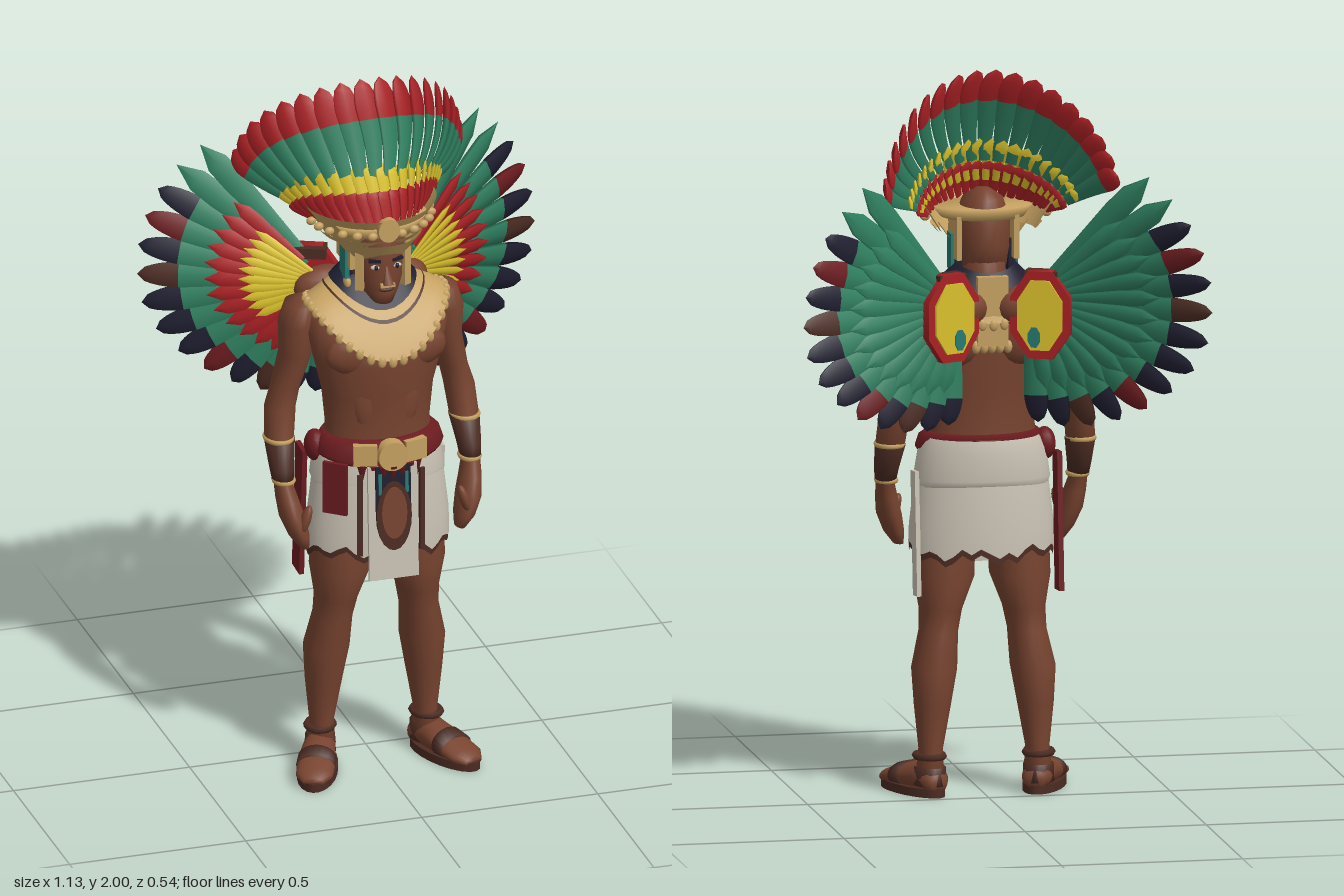
import * as THREE from 'three';
import { mergeGeometries, mergeVertices } from 'three/addons/utils/BufferGeometryUtils.js';

const mat = (name, color, side = THREE.FrontSide) => {
  const m = new THREE.MeshStandardMaterial({ color, side });
  m.name = name;
  return m;
};
const D = THREE.DoubleSide;
const M = {
  skin: mat('skin', 0x784430), leather: mat('leather', 0x4c2c23), gold: mat('gold', 0xc4a060, D),
  green: mat('green', 0x2f7f60), red: mat('red', 0xa82024), navy: mat('navy', 0x1f1e30, D),
  yellow: mat('yellow', 0xd8c02c), cream: mat('cream', 0xcac2b4, D), teal: mat('teal', 0x257a72),
  maroon: mat('maroon', 0x6c1c20, D),
};
const SIDES = [-1, 1];

// Cross-sections from top to bottom: [y, cx, cz, rx, rz, drop at front and back]
function loft(sections, open = false, n = 20) {
  const rows = sections.length - 1;
  let g = new THREE.CylinderGeometry(1, 1, 1, n, rows, open);
  g.deleteAttribute('uv');
  g.deleteAttribute('normal');
  const p = g.attributes.position;
  for (let i = 0; i < p.count; i++) {
    const [y, cx, cz, rx, rz, drop = 0] = sections[Math.round((0.5 - p.getY(i)) * rows)];
    const x = p.getX(i), z = p.getZ(i);
    p.setXYZ(i, cx + x * rx, y + drop * z * z * (z > 0 ? 1 : 0.5), cz + z * rz);
  }
  g = mergeVertices(g, 1e-5);
  g.computeVertexNormals();
  return g;
}
const mirrored = (sections, s) => sections.map(([y, cx, ...r]) => [y, cx * s, ...r]);

// A piece of a flat bowed feather, from fraction t0 to t1 of its length
function featherPiece(len, w, bow, t0, t1) {
  const pts = [];
  for (let i = 0; i <= 6; i++) {
    const t = t0 + (t1 - t0) * i / 6;
    const r = t < 0.72 ? 0.45 + 0.55 * t / 0.72 : Math.sqrt(Math.max(0, 1 - ((t - 0.72) / 0.28) ** 2));
    pts.push(new THREE.Vector2(Math.max(r * w, 1e-4), t * len));
  }
  const g = new THREE.LatheGeometry(pts, 6).scale(1, 1, 0.28), p = g.attributes.position;
  for (let i = 0; i < p.count; i++) {
    const t = p.getY(i) / len;
    p.setZ(i, p.getZ(i) + bow * 4 * t * (1 - t));
  }
  return g;
}

// Feathers spread over a surface P(t, a); colour(i) gives [base, tip, split]
function fan(name, P, a0, a1, n, t0, t1, w, bow, colour) {
  const bins = {};
  for (let i = 0; i < n; i++) {
    const a = a0 + (a1 - a0) * i / (n - 1);
    const from = P(t0, a), to = P(t1, a);
    const Y = to.clone().sub(from), len = Y.length();
    Y.normalize();
    const Z = P(t1, a + 0.05).sub(P(t1, a - 0.05)).cross(Y).normalize();
    const X = Y.clone().cross(Z);
    const m = new THREE.Matrix4().makeBasis(X, Y, Z).setPosition(from);
    m.multiply(new THREE.Matrix4().makeRotationY(0.28));
    const [base, tip, split] = colour(i);
    (bins[base] ??= []).push(featherPiece(len, w, bow, 0, tip ? split : 1).applyMatrix4(m));
    if (tip) (bins[tip] ??= []).push(featherPiece(len, w, bow, split, 1).applyMatrix4(m));
  }
  const group = new THREE.Group();
  group.name = name;
  for (const c in bins) {
    const mesh = new THREE.Mesh(mergeGeometries(bins[c]), M[c]);
    mesh.name = name + ' ' + c;
    group.add(mesh);
  }
  return group;
}

export function createModel() {
  const model = new THREE.Group();
  model.name = 'feathered warrior';
  const add = (name, g, m, x = 0, y = 0, z = 0, parent = model) => {
    const mesh = new THREE.Mesh(g, M[m]);
    mesh.name = name;
    mesh.position.set(x, y, z);
    parent.add(mesh);
    return mesh;
  };
  const box = (name, m, w, h, d, x, y, z) => add(name, new THREE.BoxGeometry(w, h, d), m, x, y, z);
  const ball = (name, m, rx, ry, rz, x, y, z) =>
    add(name, new THREE.SphereGeometry(1, 14, 10).scale(rx, ry, rz), m, x, y, z);
  const disc = (name, m, rx, ry, d, x, y, z) =>
    add(name, new THREE.CylinderGeometry(1, 1, d, 20).rotateX(Math.PI / 2).scale(rx, ry, 1), m, x, y, z);

  // Torso, neck and head
  add('torso', loft([[1.42, 0, 0.04, 0.06, 0.05], [1.39, 0, 0.05, 0.13, 0.07], [1.36, 0, 0.07, 0.185, 0.095],
    [1.3, 0, 0.1, 0.198, 0.12], [1.22, 0, 0.105, 0.18, 0.123], [1.12, 0, 0.102, 0.155, 0.108],
    [1.02, 0, 0.102, 0.145, 0.103], [0.95, 0, 0.1, 0.155, 0.105], [0.8, 0, 0.1, 0.17, 0.11]], false, 28), 'skin');
  add('neck', loft([[1.5, 0, 0.07, 0.055, 0.06], [1.35, 0, 0.05, 0.065, 0.065]]), 'skin');
  add('head', loft([[1.665, 0, 0.08, 0.02, 0.03], [1.64, 0, 0.085, 0.055, 0.075], [1.58, 0, 0.09, 0.074, 0.1],
    [1.51, 0, 0.09, 0.074, 0.102], [1.46, 0, 0.1, 0.068, 0.09], [1.42, 0, 0.115, 0.052, 0.07],
    [1.39, 0, 0.14, 0.03, 0.042]]), 'skin');
  add('nose', new THREE.ConeGeometry(0.016, 0.06, 6), 'skin', 0, 1.485, 0.195).rotation.x = -0.25;
  box('nose ornament', 'gold', 0.04, 0.01, 0.012, 0, 1.452, 0.196);
  ball('mouth', 'leather', 0.022, 0.006, 0.008, 0, 1.435, 0.185);

  // Pectorals, face details, side flaps
  for (const s of SIDES) {
    ball('pectoral', 'skin', 0.092, 0.062, 0.036, s * 0.08, 1.255, 0.18);
    ball('abdominal', 'skin', 0.05, 0.1, 0.024, s * 0.045, 1.11, 0.18);
    ball('shoulder blade', 'skin', 0.09, 0.09, 0.04, s * 0.09, 1.28, 0.005);
    ball('eye white', 'cream', 0.014, 0.007, 0.008, s * 0.03, 1.503, 0.182);
    ball('pupil', 'navy', 0.006, 0.007, 0.006, s * 0.03, 1.503, 0.187);
    box('eyebrow', 'navy', 0.034, 0.008, 0.009, s * 0.032, 1.522, 0.183).rotation.y = s * 0.35;
    box('hair lock', 'navy', 0.02, 0.14, 0.05, s * 0.073, 1.46, 0.07);
    box('cheek frame', 'gold', 0.022, 0.11, 0.035, s * 0.061, 1.485, 0.145).rotation.y = s * 0.5;
    box('helmet side', 'gold', 0.014, 0.12, 0.12, s * 0.079, 1.54, 0.07);
    box('flap inlay', 'teal', 0.012, 0.1, 0.05, s * 0.087, 1.495, 0.085);
    ball('earring', 'gold', 0.011, 0.02, 0.018, s * 0.085, 1.43, 0.1);
  }

  // Crown
  const arc = (name, m, rt, rb, h, y, z) =>
    add(name, new THREE.CylinderGeometry(rt, rb, h, 28, 1, true, -Math.PI * 0.55, Math.PI * 1.1), m, 0, y, z);
  arc('brow band', 'gold', 0.125, 0.086, 0.055, 1.548, 0.09);
  arc('crown band', 'gold', 0.184, 0.13, 0.085, 1.605, 0.028);
  arc('crown lower rim', 'gold', 0.152, 0.135, 0.02, 1.57, 0.04);
  add('crown floor', loft([[1.62, 0, 0.095, 0.14, 0.1], [1.59, 0, 0.09, 0.115, 0.104]], false, 28), 'gold');
  for (let i = -6; i <= 6; i++) {
    const a = i * 0.25;
    ball('crown bead', 'gold', 0.014, 0.012, 0.01, 0.168 * Math.sin(a), 1.6, 0.03 + 0.168 * Math.cos(a));
  }
  disc('crown medallion', 'gold', 0.03, 0.034, 0.02, 0, 1.62, 0.203);

  // Headdress feathers
  const crest = dz => (t, a) => {
    const s = Math.sin(a), c = Math.cos(a);
    const base = new THREE.Vector3(0.165 * s, 1.605 + 0.02 * c, 0.185 - 0.17 * s * s + dz);
    return base.lerp(new THREE.Vector3(0.325 * s, 1.68 + 0.32 * c, 0.03 - 0.22 * s * s + dz), t);
  };
  model.add(fan('headdress long feathers', crest(0.004), -1.4, 1.4, 18, 0.28, 1, 0.038, 0.025, () => ['green', 'red', 0.62]));
  model.add(fan('headdress yellow feathers', crest(0.008), -1.38, 1.38, 21, 0.12, 0.45, 0.023, 0.008, () => ['yellow']));
  model.add(fan('headdress red feathers', crest(0.012), -1.4, 1.4, 21, 0, 0.28, 0.025, 0.006, () => ['red']));

  // Collar in tiers with a beaded hem
  add('neck collar', loft([[1.468, 0, 0.05, 0.082, 0.07, -0.04], [1.43, 0, 0.06, 0.12, 0.118, -0.06]], true, 28), 'navy');
  add('gold collar', loft([[1.43, 0, 0.055, 0.085, 0.075, -0.03], [1.42, 0, 0.065, 0.125, 0.115, -0.06],
    [1.406, 0, 0.085, 0.17, 0.143, -0.115], [1.388, 0, 0.09, 0.2, 0.16, -0.14]], true, 36), 'gold');
  add('collar groove', loft([[1.422, 0, 0.068, 0.136, 0.126, -0.074], [1.418, 0, 0.07, 0.14, 0.13, -0.079]], true, 36), 'leather');
  for (let i = 0; i < 40; i++) {
    const a = i * Math.PI / 20, c = Math.cos(a);
    ball('collar bead', 'gold', 0.012, 0.016, 0.007, 0.194 * Math.sin(a), 1.383 - 0.14 * c * c * (c > 0 ? 1 : 0.5), 0.09 + 0.156 * c);
  }

  // Limbs
  const arm = [[1.385, 0.18, 0.045, 0.02, 0.02], [1.365, 0.2, 0.045, 0.042, 0.055], [1.31, 0.21, 0.045, 0.05, 0.066],
    [1.22, 0.213, 0.04, 0.044, 0.06], [1.12, 0.238, 0.03, 0.039, 0.05], [1.06, 0.254, 0.033, 0.042, 0.05],
    [0.98, 0.262, 0.05, 0.04, 0.047], [0.9, 0.266, 0.085, 0.03, 0.037], [0.86, 0.266, 0.1, 0.025, 0.036],
    [0.82, 0.26, 0.115, 0.03, 0.046], [0.77, 0.25, 0.13, 0.034, 0.054], [0.72, 0.235, 0.14, 0.028, 0.046],
    [0.685, 0.222, 0.142, 0.014, 0.028]];
  const leg = [[0.95, 0.085, 0.1, 0.07, 0.085], [0.75, 0.1, 0.102, 0.084, 0.088], [0.6, 0.105, 0.1, 0.083, 0.097],
    [0.51, 0.115, 0.095, 0.058, 0.078], [0.45, 0.122, 0.088, 0.053, 0.07], [0.35, 0.136, 0.075, 0.062, 0.075],
    [0.25, 0.142, 0.07, 0.05, 0.06], [0.13, 0.147, 0.068, 0.033, 0.042], [0.04, 0.15, 0.065, 0.04, 0.048]];
  const foot = [[0.2, 0, -0.025, 0.028, 0.014], [0.17, 0, -0.032, 0.05, 0.022], [0.1, 0, -0.043, 0.053, 0.034],
    [0.03, 0, -0.052, 0.044, 0.045], [-0.03, 0, -0.045, 0.04, 0.035], [-0.048, 0, -0.04, 0.025, 0.025]];
  for (const s of SIDES) {
    add('arm', loft(mirrored(arm, s)), 'skin');
    add('bracer', loft(mirrored([[0.975, 0.262, 0.052, 0.042, 0.049], [0.9, 0.266, 0.085, 0.033, 0.04],
      [0.87, 0.266, 0.096, 0.029, 0.039]], s)), 'leather');
    for (const [y, z, r] of [[0.975, 0.052, 0.038], [0.868, 0.097, 0.028]])
      add('bracer ring', new THREE.TorusGeometry(r, 0.005, 6, 20).rotateX(Math.PI / 2).scale(1, 1.4, 1.25), 'gold', s * 0.264, y, z);
    ball('thumb', 'skin', 0.014, 0.042, 0.018, s * 0.225, 0.775, 0.172).rotation.z = s * 0.3;
    add('leg', loft(mirrored(leg, s)), 'skin');

    const sandal = new THREE.Group();
    sandal.name = 'foot';
    add('foot flesh', loft(foot).rotateX(Math.PI / 2), 'skin', 0, 0, 0, sandal);
    add('sandal sole', new THREE.CylinderGeometry(1, 1, 0.024, 20).scale(0.055, 1, 0.132), 'leather', 0, 0.012, 0.08, sandal);
    add('toe strap', loft([[0.125, 0, -0.042, 0.054, 0.034], [0.085, 0, -0.046, 0.053, 0.04]]).rotateX(Math.PI / 2),
      'leather', 0, 0, 0, sandal);
    add('heel strap', loft([[0.08, 0, 0, 0.041, 0.048], [0.03, 0, 0, 0.043, 0.05]]), 'leather', 0, 0, 0, sandal);
    add('ankle strap', new THREE.TorusGeometry(0.036, 0.01, 6, 16).rotateX(Math.PI / 2).scale(1, 1, 1.15), 'leather', 0, 0.11, 0.002, sandal);
    sandal.position.set(s * 0.15, 0, 0.065);
    sandal.rotation.y = s * 0.4;
    model.add(sandal);
  }

  // Wrapped skirt with a ragged hem and dark trim
  const ragged = (name, sections, m) => {
    const g = loft(sections, true, 48), p = g.attributes.position;
    for (let i = 0; i < p.count; i++) if (p.getY(i) < 0.71) {
      const a = Math.atan2(p.getX(i), p.getZ(i) - 0.1);
      p.setY(i, p.getY(i) + 0.01 * Math.sin(5 * a) + 0.012 * Math.sin(13 * a));
    }
    g.computeVertexNormals();
    add(name, g, m);
  };
  ragged('skirt', [[0.95, 0, 0.105, 0.165, 0.115], [0.85, 0, 0.105, 0.185, 0.126], [0.74, 0, 0.105, 0.198, 0.132],
    [0.675, 0, 0.105, 0.2, 0.132]], 'cream');
  ragged('skirt trim', [[0.68, 0, 0.105, 0.197, 0.129], [0.658, 0, 0.105, 0.197, 0.129]], 'leather');
  add('waist wrap', loft([[0.985, 0, 0.095, 0.158, 0.116], [0.95, 0, 0.095, 0.176, 0.123], [0.87, 0, 0.1, 0.188, 0.13, 0.01],
    [0.85, 0, 0.1, 0.182, 0.122, 0.02]], true, 28), 'cream');
  for (const s of SIDES) box('skirt slit', 'leather', 0.016, 0.24, 0.008, s * 0.088, 0.79, 0.225).rotation.y = s * 0.3;
  box('hip tail', 'cream', 0.012, 0.34, 0.06, 0.195, 0.73, 0.03).rotation.x = 0.1;
  box('red sash', 'maroon', 0.014, 0.38, 0.065, -0.2, 0.75, 0.04).rotation.x = 0.08;
  box('red sash front', 'maroon', 0.07, 0.15, 0.012, -0.15, 0.87, 0.2).rotation.y = -0.7;
  ball('sash knot', 'maroon', 0.03, 0.045, 0.04, -0.172, 0.955, 0.09);

  // Front apron
  const apron = new THREE.Group();
  apron.name = 'apron';
  const drop = new THREE.CylinderGeometry(1, 1, 0.008, 20).rotateX(Math.PI / 2);
  add('apron cloth', new THREE.BoxGeometry(0.14, 0.33, 0.009), 'cream', 0, -0.165, 0, apron);
  add('apron panel', new THREE.BoxGeometry(0.1, 0.13, 0.006), 'navy', 0, -0.065, 0.006, apron);
  add('apron pendant', drop.clone().scale(0.05, 0.1, 1), 'leather', 0, -0.145, 0.01, apron);
  add('pendant centre', drop.clone().scale(0.036, 0.075, 1), 'skin', 0, -0.135, 0.014, apron);
  for (const s of SIDES) add('apron inlay', new THREE.BoxGeometry(0.009, 0.06, 0.006), 'teal', s * 0.038, -0.05, 0.01, apron);
  apron.position.set(0, 0.935, 0.235);
  apron.rotation.x = -0.05;
  model.add(apron);

  // Belt, narrow behind and broad in front
  add('belt', loft([[1, 0, 0.105, 0.152, 0.112], [0.985, 0, 0.115, 0.17, 0.118], [0.955, 0, 0.117, 0.18, 0.12, -0.02],
    [0.945, 0, 0.117, 0.175, 0.116, -0.02]], false, 28), 'maroon');
  disc('belt buckle', 'gold', 0.042, 0.042, 0.035, 0, 0.965, 0.235);
  for (const s of SIDES) box('belt plate', 'gold', 0.065, 0.06, 0.025, s * 0.07, 0.965, 0.215).rotation.y = s * 0.25;
  for (let i = -3; i <= 3; i++)
    add('belt fringe', new THREE.ConeGeometry(0.015, 0.055, 5).rotateX(Math.PI), 'maroon', i * 0.026, 0.908, 0.242 - 0.003 * i * i);

  // Wings: layered feathers around a root on each shoulder
  const tips = ['navy', 'navy', 'navy', 'maroon', 'navy', 'leather'];
  const pad = new THREE.CylinderGeometry(1, 1, 0.03, 8).rotateX(Math.PI / 2).rotateZ(Math.PI / 8);
  for (const s of SIDES) {
    const wing = dz => (r, a) => {
      const k = a > -0.3 ? 1 : 1 - 0.27 * (-0.3 - a) / 1.2;
      const x = r * k * Math.cos(a), y = r * k * Math.sin(a);
      return new THREE.Vector3(s * (0.1 + x), 1.38 + y, -0.05 - 0.46 * x - 0.13 * Math.max(0, y) + dz);
    };
    model.add(fan('wing long feathers', wing(0), 0.88, -1.5, 14, 0.07, 0.465, 0.04, 0,
      i => i < 2 ? ['green'] : ['green', tips[i % 6], 0.74]));
    model.add(fan('wing back coverts', wing(-0.018), 0.8, -1.4, 13, 0.05, 0.33, 0.029, 0, () => ['green']));
    model.add(fan('wing red feathers', wing(0.018), 0.75, -1.0, 12, 0.08, 0.305, 0.024, 0, () => ['red']));
    model.add(fan('wing yellow feathers', wing(0.034), 0.66, -0.55, 10, 0.05, 0.225, 0.014, 0, () => ['yellow']));
    ball('wing root', 'skin', 0.09, 0.06, 0.05, s * 0.1, 1.36, -0.045);
    // Rear pad with a red border and a dark ridge on top
    const rear = new THREE.Group();
    rear.name = 'wing pad';
    add('pad border', pad.clone().scale(0.09, 0.13, 1), 'red', 0, 0, 0, rear);
    add('pad face', pad.clone().scale(0.068, 0.104, 1), 'yellow', 0, 0, -0.007, rear);
    add('pad inlay', pad.clone().scale(0.018, 0.03, 1), 'teal', s * -0.015, -0.06, -0.011, rear);
    add('pad ridge', new THREE.BoxGeometry(0.09, 0.03, 0.05), 'leather', 0, 0.105, 0.012, rear);
    rear.position.set(s * 0.125, 1.345, -0.098);
    rear.rotation.y = s * 0.42;
    model.add(rear);
  }
  box('back plate', 'gold', 0.085, 0.19, 0.024, 0, 1.35, -0.05);
  for (let i = -2; i <= 2; i++) ball('back plate bead', 'gold', 0.012, 0.018, 0.012, i * 0.022, 1.25, -0.045);
  return model;
}
